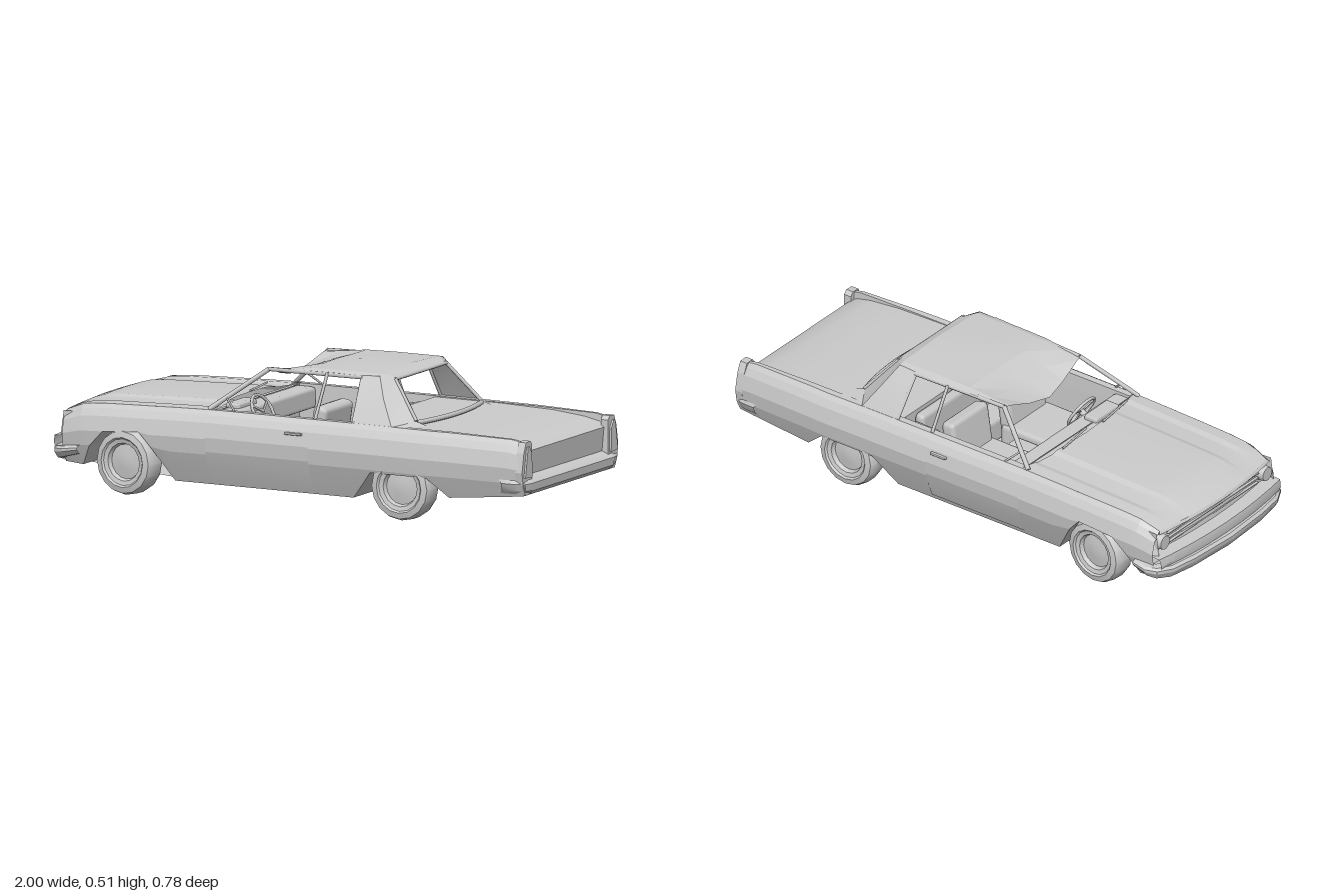
import * as THREE from 'three';
import { toCreasedNormals } from 'three/addons/utils/BufferGeometryUtils.js';
import { RoundedBoxGeometry } from 'three/addons/geometries/RoundedBoxGeometry.js';

const grey = new THREE.MeshStandardMaterial({ color: 0xcccccc, side: THREE.DoubleSide });

// Body stations along the length: x, lower edge, upper edge, width factor
const STATIONS = [
  [-0.915, 0.10, 0.29, 0.955], [-0.84, 0.095, 0.318, 0.985], [-0.80, 0.17, 0.323, 0.99],
  [-0.74, 0.23, 0.327, 0.995], [-0.59, 0.24, 0.332, 1], [-0.545, 0.19, 0.333, 1],
  [-0.465, 0.065, 0.336, 1], [-0.3, 0.065, 0.34, 1], [0.27, 0.065, 0.34, 1], [0.36, 0.17, 0.34, 1],
  [0.59, 0.17, 0.338, 1], [0.67, 0.10, 0.338, 0.99], [0.92, 0.125, 0.333, 0.965], [0.98, 0.132, 0.322, 0.955],
];
// Side curve: height fraction, half width
const SIDE = [[0, 0.327], [0.22, 0.352], [0.42, 0.372], [0.63, 0.379], [0.84, 0.366], [0.94, 0.35], [1, 0.335]];

function sample(table, x) {
  let i = 1;
  while (i < table.length - 1 && x > table[i][0]) i++;
  const a = table[i - 1], b = table[i];
  const t = THREE.MathUtils.clamp((x - a[0]) / (b[0] - a[0]), 0, 1);
  return a.map((v, k) => v + (b[k] - v) * t);
}

// Half width of the body at x and height y
function halfWidth(x, y) {
  const [, , top, w] = sample(STATIONS, x);
  return sample(SIDE, (y - 0.065) / (top - 0.065))[1] * w;
}

// Surface through rows of points
function grid(rows, crease = 0.5) {
  const n = rows[0].length, index = [];
  for (let i = 0; i < rows.length - 1; i++)
    for (let j = 0; j < n - 1; j++) {
      const a = i * n + j, b = a + n;
      index.push(a, b, a + 1, b, b + 1, a + 1);
    }
  const g = new THREE.BufferGeometry();
  g.setAttribute('position', new THREE.Float32BufferAttribute(rows.flat(2), 3));
  g.setIndex(index);
  return toCreasedNormals(g, crease);
}

export function createModel() {
  const model = new THREE.Group();
  const add = (name, geometry, parent = model) => {
    const mesh = new THREE.Mesh(geometry, grey);
    mesh.name = name;
    parent.add(mesh);
    return mesh;
  };
  const box = (name, x, y, z, w, h, d, r = 0.01) => {
    const m = add(name, new RoundedBoxGeometry(w, h, d, 1, r));
    m.position.set(x, y, z);
    return m;
  };
  const bar = (name, a, b, r = 0.007) => {
    const p = new THREE.Vector3(...a), q = new THREE.Vector3(...b);
    const m = add(name, new THREE.CylinderGeometry(r, r, p.distanceTo(q), 6));
    m.position.copy(p).lerp(q, 0.5);
    m.quaternion.setFromUnitVectors(new THREE.Vector3(0, 1, 0), q.sub(p).normalize());
    return m;
  };

  // Underside follows the wheel arches; a flat pan runs between the front wheels
  add('underside', grid(STATIONS.map(([x, b]) => [[x, b, -halfWidth(x, b)], [x, b, halfWidth(x, b)]]), 0.2));
  add('frontPan', grid([[-0.84, 0.095], [-0.465, 0.065]].map(([x, y]) => [[x, y, -0.275], [x, y, 0.275]])));

  for (const s of [1, -1]) {
    // Side panels with arch cutouts
    add('bodySide', grid(STATIONS.map(([x, bottom, top]) => SIDE.map(([f]) => {
      const y = Math.max(bottom, 0.065 + f * (top - 0.065));
      return [x, y, s * halfWidth(x, y)];
    })), 0.16));
    // Fender and door top ledge
    add('beltLedge', grid(STATIONS.filter(([x]) => x >= -0.3).map(([x, , top]) =>
      [[x, top, s * halfWidth(x, top)], [x, top, s * 0.308], [x, top - 0.055, s * 0.306]])));
    // Door skin and handle
    add('door', grid([-0.315, 0.108].map(x => SIDE.map(([f]) => {
      const y = 0.085 + f * 0.252;
      return [x, y, s * (halfWidth(x, y) + 0.003)];
    })), 0.16));
    box('doorHandle', 0.048, 0.288, s * 0.379, 0.07, 0.009, 0.014, 0.003);

    // Window pillars and frames
    const hinge = [-0.325, 0.34, s * 0.33], corner = [-0.135, 0.488, s * 0.225];
    bar('windshieldPillar', hinge, corner, 0.009);
    bar('ventWindowBar', [-0.27, 0.385, s * 0.3], [-0.22, 0.34, s * 0.33], 0.004);
    bar('doorPillar', [0.113, 0.34, s * 0.33], [0.113, 0.495, s * 0.238], 0.006);
    bar('roofRail', corner, [0.26, 0.493, s * 0.24], 0.008);
    bar('quarterWindowFrame', [0.257, 0.493, s * 0.238], [0.27, 0.34, s * 0.33], 0.006);

    // Broad rear pillar, wrapping round to the rear window
    add('rearPillar', grid([
      [[0.255, 0.5, s * 0.24], [0.33, 0.503, s * 0.238], [0.37, 0.49, s * 0.192]],
      [[0.262, 0.43, s * 0.288], [0.372, 0.43, s * 0.288], [0.42, 0.43, s * 0.216]],
      [[0.27, 0.338, s * 0.335], [0.43, 0.338, s * 0.335], [0.485, 0.35, s * 0.245]],
    ], 0.25));
    add('rearPillarFoot', grid([
      [[0.43, 0.338, s * 0.335], [0.485, 0.35, s * 0.245]],
      [[0.45, 0.336, s * 0.335], [0.53, 0.337, s * 0.245]],
    ]));
    bar('rearWindowFrame', [0.37, 0.488, s * 0.192], [0.485, 0.352, s * 0.245], 0.007);

    // Tail lamp housing with raised lens
    const lampShape = pts => new THREE.Shape(pts.map(([z, y]) => new THREE.Vector2(z, y)));
    [['tailLampHousing', 0.955, 0.03, [[0.287, 0.315], [0.3, 0.33], [0.333, 0.328], [0.35, 0.29], [0.364, 0.22], [0.355, 0.17], [0.338, 0.134], [0.287, 0.134]]],
      ['tailLampLens', 0.98, 0.012, [[0.3, 0.285], [0.318, 0.312], [0.33, 0.31], [0.35, 0.2], [0.298, 0.197]]]].forEach(([name, x, depth, pts]) => {
      const g = new THREE.ExtrudeGeometry(lampShape(pts.map(([z, y]) => [-z * s, y])), { depth, bevelEnabled: false });
      g.rotateY(Math.PI / 2);
      g.translate(x, 0, 0);
      add(name, g);
    });

    // Headlamps set into the ends of the grille opening
    const lamp = add('headlamp', new THREE.CylinderGeometry(0.027, 0.034, 0.05, 14));
    lamp.rotation.z = Math.PI / 2;
    lamp.position.set(-0.905, 0.24, s * 0.305);
    add('noseCheek', grid([[-0.918, 0.288], [-0.93, 0.2]].map(([x, y]) =>
      [[x, y, s * 0.342], [-0.88, y, s * halfWidth(-0.88, y)]])));
  }

  // Hood with raised centre and bowed ends
  const hoodLines = [[0, 0.01], [0.3, 0.01], [0.5, 0.008], [0.57, 0], [0.78, -0.003], [0.85, 0.003], [1, 0]];
  const across = [...hoodLines.slice(1).reverse().map(([k, h]) => [-k, h]), ...hoodLines];
  const noseBow = k => -0.03 * (1 - k * k);
  add('hood', grid([0, 0.08, 0.17, 0.3, 0.55, 0.8, 1].map(u => across.map(([k, h]) => {
    const front = -0.915 + noseBow(k), back = -0.3 - 0.04 * (1 - k * k);
    const xe = -0.915 + 0.615 * u, top = sample(STATIONS, xe)[2];
    return [front + (back - front) * u, top + h * Math.min(1, u * 5), k * halfWidth(xe, top)];
  })), 0.25));

  // Nose: thin lip, deep raked grille recess and a jutting lower shell
  const noseProfile = [[0, 0.29], [-0.006, 0.28], [0.04, 0.274], [0.025, 0.2], [-0.03, 0.198], [-0.036, 0.17], [-0.02, 0.11], [0.015, 0.1]];
  add('nose', grid(noseProfile.map(([dx, y]) => across.map(([k]) =>
    [-0.915 + noseBow(k) + dx, y, k * halfWidth(-0.915, y)]))));
  for (const y of [0.218, 0.237, 0.256]) box('grilleBar', -0.912, y, 0, 0.012, 0.004, 0.54, 0.001);

  // Slim front bumper wrapping round the corners: x, z, outward x, outward z
  const half = [[-0.99, 0, -1, 0], [-0.978, 0.2, -1, 0], [-0.962, 0.31, -1, 0.2], [-0.935, 0.362, -0.7, 0.7], [-0.9, 0.38, 0, 1], [-0.84, 0.374, 0, 1]];
  const bumperPath = [...half.slice(1).reverse().map(([x, z, a, b]) => [x, -z, a, -b]), ...half];
  add('frontBumper', grid(bumperPath.map(([x, z, nx, nz]) => {
    const sweep = Math.max(0, x + 0.975) / 0.135;
    return [[-0.03, 0.158], [0, 0.156], [0.01, 0.146], [0.01, 0.132], [-0.004, 0.106], [-0.03, 0.102]]
      .map(([o, y]) => [x + nx * o, y + sweep * (0.012 + (0.158 - y) * 0.4), z + nz * o]);
  })));

  // Boot lid falling between the fenders, tail panel and rear bumper
  const tail = [[0.3, 0.336], [0.53, 0.336], [0.75, 0.33], [0.88, 0.317], [0.94, 0.304], [0.968, 0.288], [0.96, 0.2],
    [0.984, 0.19], [0.998, 0.177], [0.996, 0.148], [0.98, 0.132]];
  add('bootAndTail', grid(tail.map(([x, y]) => [-0.31, -0.15, 0.15, 0.31].map(z => [x, y, z]))));
  for (const s of [1, -1])
    add('rearBumperEnd', grid([[0.31, 0.998], [0.35, 0.99], [0.365, 0.96], [0.367, 0.9]].map(([z, x]) =>
      [[x - 0.012, 0.19, s * (z - 0.004)], [x, 0.177, s * z], [x - 0.002, 0.15, s * (z - 0.01)], [x - 0.02, 0.132, s * (z - 0.026)]])));

  // Roof, its leading edge dipping at the centre
  add('roof', grid([-0.14, -0.06, 0.03, 0.15, 0.26, 0.33, 0.37].map(x => [-1, -0.9, -0.45, 0, 0.45, 0.9, 1].map(k => {
    const a = Math.abs(k), front = Math.max(0, (0.05 - x) / 0.19), rear = Math.max(0, (x - 0.33) / 0.04);
    const w = 0.24 - 0.015 * front - 0.048 * rear, edge = a === 1 ? 0.006 : 0;
    const dip = 0.012 + 0.071 * (1 - a ** 1.4);
    return [x - 0.03 * front * (1 - a), 0.506 - edge + 0.01 * (1 - a) * (1 - rear) - front * dip - 0.011 * rear, k * w];
  })), 0.2));
  bar('rearWindowHeader', [0.37, 0.489, -0.192], [0.37, 0.489, 0.192], 0.007);
  const sill = new THREE.QuadraticBezierCurve3(new THREE.Vector3(0.485, 0.345, -0.245),
    new THREE.Vector3(0.55, 0.345, 0), new THREE.Vector3(0.485, 0.345, 0.245));
  add('rearWindowSill', new THREE.TubeGeometry(sill, 10, 0.01, 6));

  // Cabin tub
  add('cabinTub', grid([-0.3, 0.26].map(x => [[x, 0.336, -0.308], [x, 0.085, -0.308], [x, 0.085, 0.308], [x, 0.336, 0.308]])));
  for (const x of [-0.3, 0.26])
    add('bulkhead', grid([0.085, 0.336].map(y => [[x, y, -0.308], [x, y, 0.308]])));
  add('parcelShelf', grid([0.26, 0.31].map(x => [[x, 0.336, -0.31], [x, 0.336, 0.31]])));
  box('dashboard', -0.285, 0.292, 0, 0.11, 0.08, 0.63, 0.015);
  box('instrumentHood', -0.285, 0.335, 0.16, 0.06, 0.03, 0.14);
  box('console', -0.15, 0.14, 0, 0.3, 0.11, 0.06);
  for (const z of [-0.16, 0.08]) bar('wiper', [-0.352, 0.36, z], [-0.33, 0.358, z + 0.17], 0.004);

  // Seats and rear armrests
  for (const [z, top] of [[0.16, 0.375], [-0.16, 0.355]]) {
    box('frontSeatCushion', -0.02, 0.16, z, 0.22, 0.1, 0.24, 0.02);
    box('frontSeatBack', 0.08, (top + 0.14) / 2, z, 0.06, top - 0.14, 0.22, 0.02).rotation.z = -0.15;
    box('rearArmrest', 0.19, 0.2, Math.sign(z) * 0.28, 0.13, 0.22, 0.055, 0.015);
  }
  box('rearSeatCushion', 0.185, 0.15, 0, 0.12, 0.1, 0.5, 0.02);
  box('rearSeatBack', 0.238, 0.24, 0, 0.045, 0.18, 0.5, 0.02);

  // Steering wheel with spokes
  const steering = new THREE.Group();
  steering.name = 'steeringWheel';
  add('steeringRim', new THREE.TorusGeometry(0.066, 0.006, 6, 18), steering);
  for (let i = 0; i < 3; i++) {
    const spoke = add('steeringSpoke', new THREE.BoxGeometry(0.066, 0.008, 0.005).translate(0.033, 0, 0), steering);
    spoke.rotation.z = -Math.PI / 2 + i * Math.PI * 2 / 3;
  }
  steering.rotation.set(0, Math.PI / 2, 0);
  steering.rotateX(-0.5);
  steering.position.set(-0.2, 0.315, 0.15);
  model.add(steering);
  bar('steeringColumn', [-0.2, 0.315, 0.15], [-0.28, 0.28, 0.15], 0.012);

  // Wheels: tyre, rim lip and dished cap; the front pair is slightly steered
  const wheelProfile = [[0, -0.047], [0.108, -0.047], [0.117, -0.04], [0.122, -0.022], [0.122, 0.022], [0.114, 0.042],
    [0.092, 0.047], [0.086, 0.04], [0.07, 0.036], [0.064, 0.02], [0.03, 0.024], [0, 0.028]].map(p => new THREE.Vector2(...p));
  const wheelGeometry = toCreasedNormals(new THREE.LatheGeometry(wheelProfile, 16), 0.45);
  wheelGeometry.rotateX(Math.PI / 2);
  for (const [name, x, z, steer] of [['frontWheel', -0.65, 0.337, 0.12], ['frontWheel', -0.65, -0.325, 0.08],
    ['rearWheel', 0.48, 0.325, 0], ['rearWheel', 0.48, -0.325, 0]]) {
    const wheel = add(name, wheelGeometry);
    wheel.position.set(x, 0.124, z);
    wheel.rotation.y = (z < 0 ? Math.PI : 0) - steer;
  }

  return model;
}
